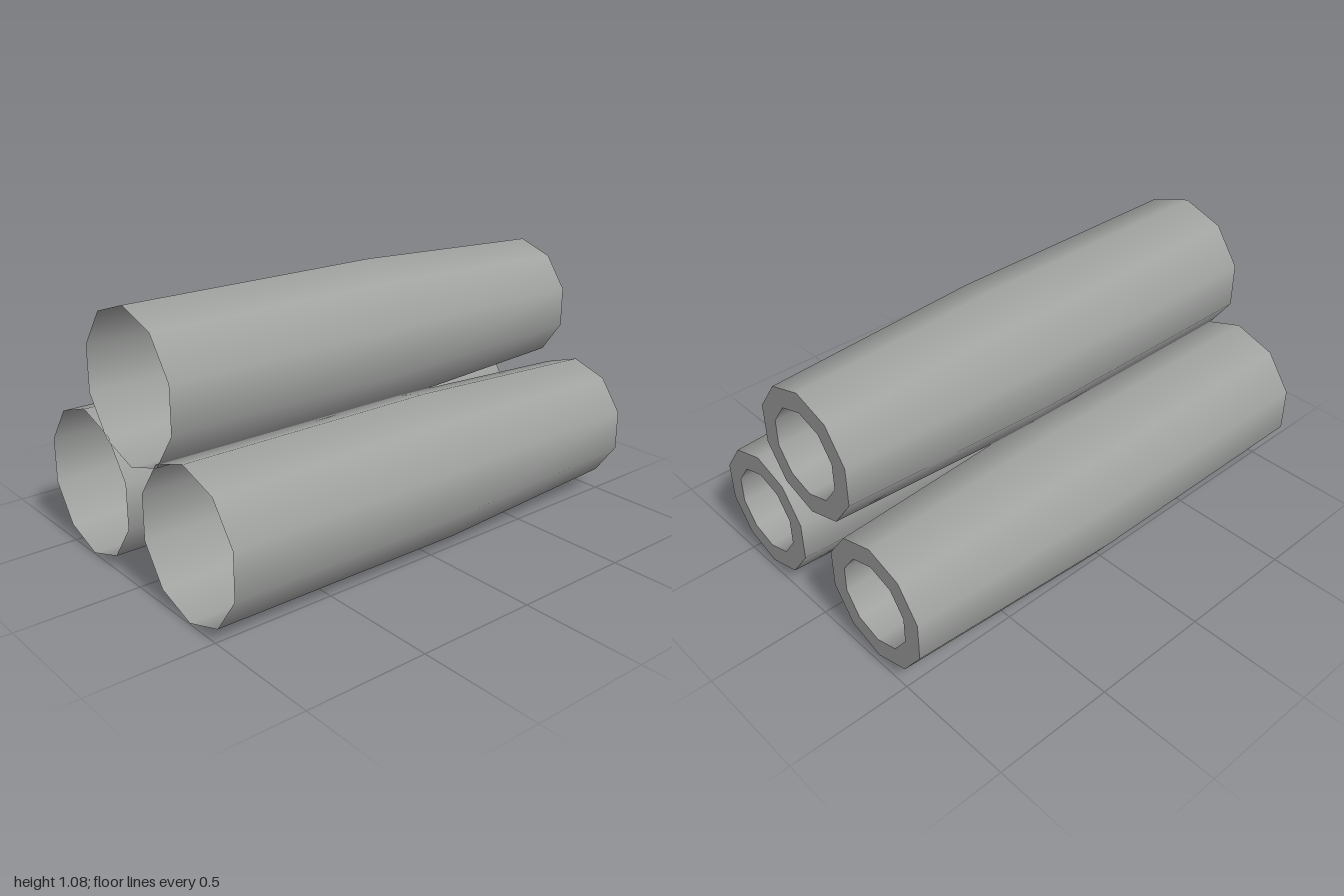
import * as THREE from 'three';

const SIDES = 10;
const steel = new THREE.MeshStandardMaterial({ name: 'grey casing', color: 0xa0a2a0, side: THREE.DoubleSide });
const orange = new THREE.MeshStandardMaterial({ name: 'orange core', color: 0xd2600c, side: THREE.DoubleSide });

// Ten-sided surface of revolution along z from [radius, z] pairs
function turned(name, profile) {
  const geometry = new THREE.LatheGeometry(profile.map(([r, z]) => new THREE.Vector2(r, z)), SIDES);
  geometry.rotateX(Math.PI / 2);
  const mesh = new THREE.Mesh(geometry, steel);
  mesh.name = name;
  return mesh;
}

function createTube(name, x, y) {
  const tube = new THREE.Group();
  tube.name = name;

  // Outer casing: straight and open at the front, tapering to the back
  tube.add(turned('frontCasing', [[0.3, -0.1], [0.299, 1]]));
  tube.add(turned('taperedCasing', [[0.26, -1], [0.3, -0.1]]));

  // Flat rear rim and the recessed bore
  tube.add(turned('rearRim', [[0.178, -1], [0.26, -1]]));
  tube.add(turned('bore', [[0.178, -0.7], [0.178, -1]]));

  // Coloured disc closing the bore
  const disc = new THREE.Mesh(new THREE.CircleGeometry(0.178, SIDES, Math.PI / 2), orange);
  disc.name = 'boreDisc';
  disc.position.z = -0.7;
  tube.add(disc);

  // Slight upward tilt of the front end
  tube.rotation.x = -0.0035;
  tube.position.set(x, y, 0);
  return tube;
}

export function createModel() {
  const model = new THREE.Group();
  model.name = 'tubeCluster';
  model.add(createTube('leftTube', 0.342, 0.3));
  model.add(createTube('rightTube', -0.342, 0.3));
  model.add(createTube('topTube', 0, 0.773));
  return model;
}
